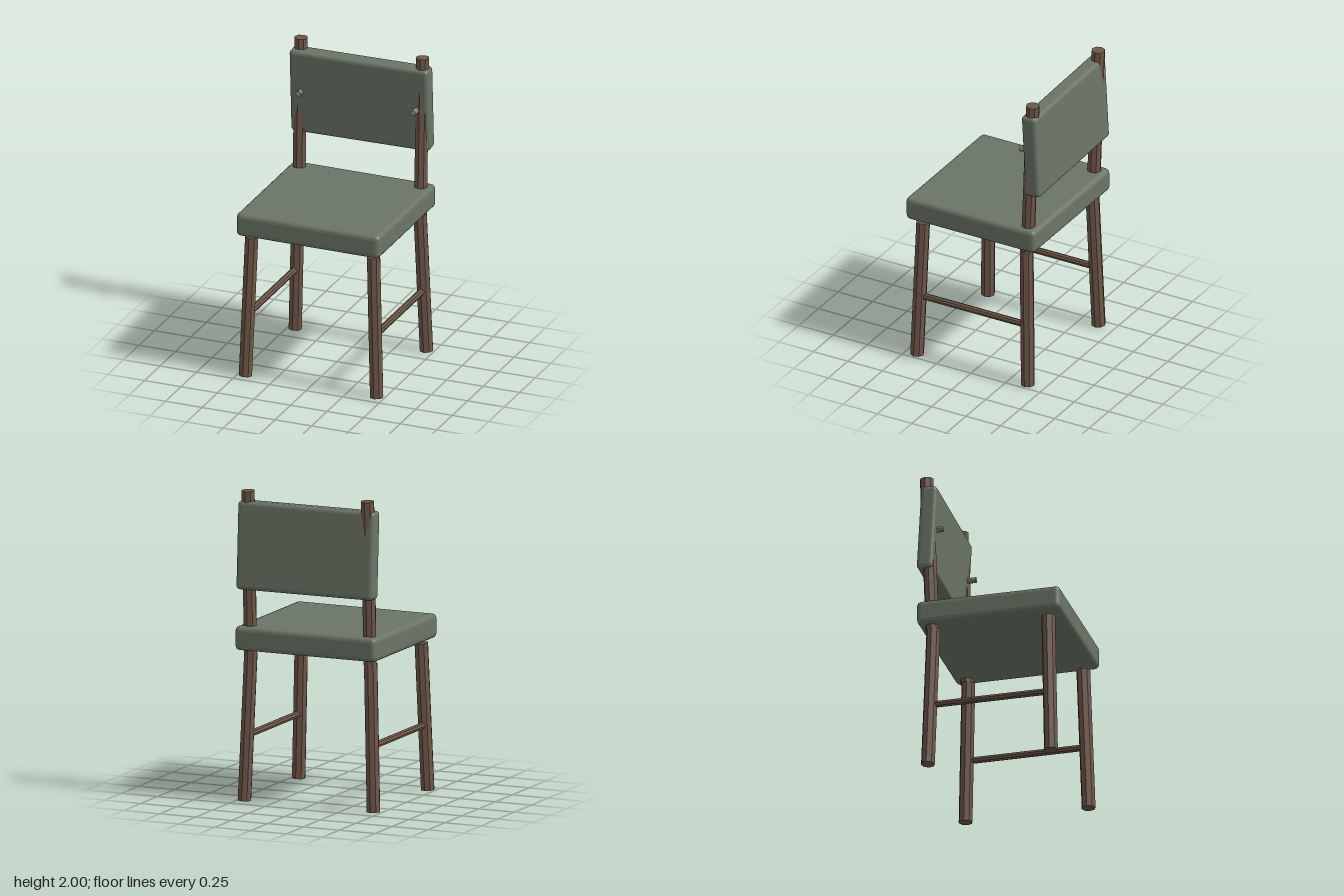
import * as THREE from 'three';
import { RoundedBoxGeometry } from 'three/addons/geometries/RoundedBoxGeometry.js';

export function createModel() {
  const chair = new THREE.Group();
  chair.name = 'chair';
  const wood = new THREE.MeshStandardMaterial({ color: 0x6f5648, flatShading: true });
  const fabric = new THREE.MeshStandardMaterial({ color: 0x6b7566, flatShading: true });
  const button = new THREE.MeshStandardMaterial({ color: 0x8f968c, flatShading: true });

  function add(name, geometry, material) {
    const mesh = new THREE.Mesh(geometry, material);
    mesh.name = name;
    chair.add(mesh);
    return mesh;
  }

  // Eight-sided rod running between two points
  function rod(name, from, to, radius, material = wood) {
    const a = new THREE.Vector3(...from);
    const b = new THREE.Vector3(...to);
    const dir = b.clone().sub(a);
    const mesh = add(name, new THREE.CylinderGeometry(radius, radius, dir.length(), 8), material);
    mesh.position.copy(a).add(b).multiplyScalar(0.5);
    mesh.quaternion.setFromUnitVectors(new THREE.Vector3(0, 1, 0), dir.normalize());
    return mesh;
  }

  // Seat cushion
  add('seat', new RoundedBoxGeometry(0.98, 0.155, 0.935, 2, 0.03), fabric)
    .position.set(0, 1.05, 0.017);

  // Backrest panel, leaning forward a little and slightly twisted
  const back = add('backrest', new RoundedBoxGeometry(0.94, 0.565, 0.106, 2, 0.025), fabric);
  back.position.set(0, 1.65, -0.4);
  back.rotation.set(0.055, 0.024, 0);

  // Splayed legs, posts, side stretchers and backrest buttons
  for (const [label, s] of [['left', 1], ['right', -1]]) {
    rod(`${label}FrontLeg`, [s * 0.449, 0.002, 0.42], [s * 0.417, 0.948, 0.394], 0.045);
    rod(`${label}RearLeg`, [s * 0.449, 0.002, -0.384], [s * 0.417, 0.948, -0.357], 0.045);
    rod(`${label}BackPost`, [s * 0.416, 0.945, -0.364], [s * 0.416, 1.998, -0.401], 0.044);
    rod(`${label}Stretcher`, [s * 0.435, 0.42, 0.4], [s * 0.435, 0.42, -0.365], 0.022);
    rod(`${label}Button`, [s * 0.393, 1.652, -0.36], [s * 0.393, 1.652, -0.298], 0.019, button);
  }

  return chair;
}
